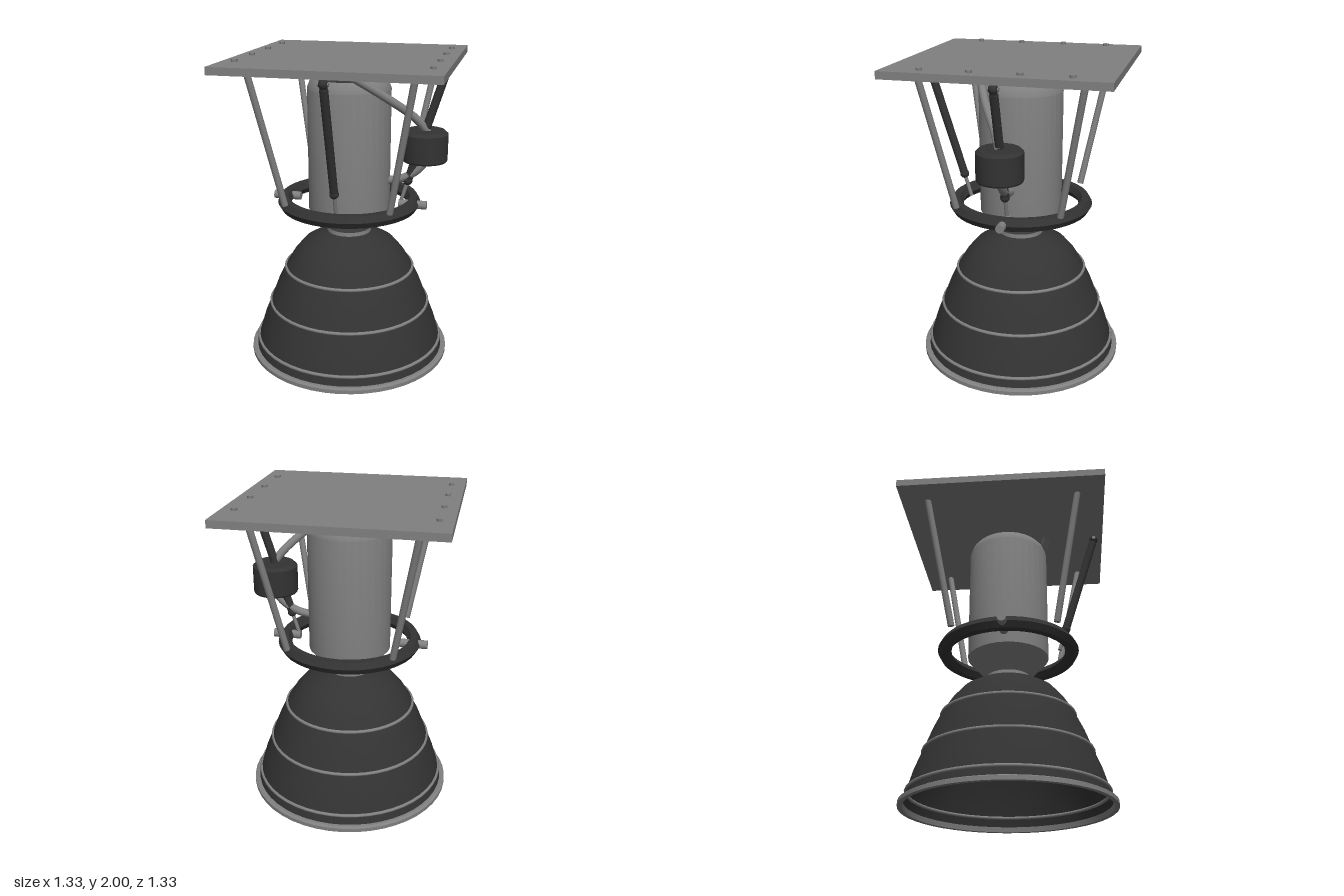
import * as THREE from 'three';
import { toCreasedNormals } from 'three/addons/utils/BufferGeometryUtils.js';

export function createModel() {
  const root = new THREE.Group();
  root.name = 'rocketEngine';

  const grey = new THREE.MeshStandardMaterial({ color: 0x808080 });
  grey.name = 'grey metal';
  const dark = new THREE.MeshStandardMaterial({ color: 0x333333 });
  dark.name = 'dark metal';
  const darkShell = new THREE.MeshStandardMaterial({ color: 0x333333, side: THREE.DoubleSide });
  darkShell.name = 'dark nozzle shell';

  const V = (x, y, z) => new THREE.Vector3(x, y, z);
  const add = (name, geometry, material, parent = root) => {
    const mesh = new THREE.Mesh(geometry, material);
    mesh.name = name;
    parent.add(mesh);
    return mesh;
  };
  const lathe = (points, segments, crease = 0.4) => toCreasedNormals(
    new THREE.LatheGeometry(points.map(([r, y]) => new THREE.Vector2(r, y)), segments), crease);
  // Cylinder between two points
  const rod = (name, a, b, radius, material, parent = root, sides = 12) => {
    const mesh = add(name, new THREE.CylinderGeometry(radius, radius, a.distanceTo(b), sides), material, parent);
    mesh.position.copy(a).lerp(b, 0.5);
    mesh.quaternion.setFromUnitVectors(V(0, 1, 0), b.clone().sub(a).normalize());
    return mesh;
  };

  // Mounting plate with two rows of hex bolts
  add('mountingPlate', new THREE.BoxGeometry(1.328, 0.046, 1.328), grey).position.y = 1.962;
  for (const x of [-0.58, 0.58]) {
    for (const z of [-0.435, -0.145, 0.145, 0.435]) {
      add('plateBolt', new THREE.CylinderGeometry(0.019, 0.019, 0.03, 6), grey).position.set(x, 1.985, z);
    }
  }

  // Combustion chamber, tapering to the throat, with a dark dome cap
  add('combustionChamber', lathe([
    [0.145, 0.835], [0.142, 0.865], [0.265, 1.0], [0.265, 1.785], [0.25, 1.825], [0.228, 1.85],
  ], 32), grey);
  add('domeCap', lathe([[0.228, 1.85], [0.15, 1.905], [0, 1.905]], 32), dark);

  // Bell nozzle, open at the bottom
  add('nozzleBell', lathe([
    [0.64, 0.01], [0.622, 0.08], [0.58, 0.22], [0.53, 0.345], [0.48, 0.475], [0.425, 0.59],
    [0.37, 0.68], [0.302, 0.76], [0.22, 0.808], [0.145, 0.84],
  ], 48, 0.6), darkShell);

  // Stiffening bands and exit rim
  for (const [r, y] of [[0.424, 0.59], [0.53, 0.343], [0.62, 0.092]]) {
    const band = add('nozzleBand', new THREE.TorusGeometry(r, 0.011, 8, 48), grey);
    band.rotation.x = Math.PI / 2;
    band.position.y = y;
  }
  add('exitRim', lathe([
    [0.638, 0], [0.667, 0], [0.667, 0.025], [0.65, 0.033], [0.632, 0.033], [0.638, 0],
  ], 48), grey);

  // Six-sided gimbal ring with pivot pins
  const ring = add('gimbalRing', toCreasedNormals(new THREE.TorusGeometry(0.42, 0.045, 6, 40), 0.5), dark);
  ring.rotation.x = Math.PI / 2;
  ring.position.y = 1.047;
  for (const s of [-1, 1]) {
    rod('gimbalPin', V(s * 0.33, 1.047, 0), V(s * 0.51, 1.047, 0), 0.028, grey);
  }

  // Four corner struts
  for (const sx of [-1, 1]) {
    for (const sz of [-1, 1]) {
      rod('cornerStrut', V(sx * 0.49, 1.945, sz * 0.49), V(sx * 0.332, 1.09, sz * 0.332), 0.021, grey);
    }
  }

  // Two actuators, one at the front and one on the left
  for (const [dx, dz, name] of [[0, 1, 'frontActuator'], [1, 0, 'leftActuator']]) {
    const group = new THREE.Group();
    group.name = name;
    root.add(group);
    const at = (r, y) => V(dx * r, y, dz * r);
    const top = at(0.602, 1.905);
    const foot = at(0.385, 1.205);
    rod('actuatorNeck', top, at(0.587, 1.855), 0.022, dark, group);
    rod('actuatorBody', at(0.592, 1.873), foot, 0.026, dark, group);
    rod('actuatorPiston', foot, at(0.34, 1.055), 0.012, grey, group);
    for (const p of [top, foot]) {
      add('actuatorJoint', new THREE.SphereGeometry(0.03, 12, 8), dark, group).position.copy(p);
    }
    rod('actuatorPin', at(0.602, 1.905).add(V(-dz * 0.032, 0, -dx * 0.032)),
      at(0.602, 1.905).add(V(dz * 0.032, 0, dx * 0.032)), 0.012, grey, group);
  }

  // Turbopump and its feed pipes
  add('turbopump', lathe([
    [0, 1.345], [0.138, 1.345], [0.143, 1.355], [0.143, 1.52], [0.122, 1.54], [0, 1.54],
  ], 24), dark).position.x = 0.488;
  const pipe = (name, points) => add(name,
    new THREE.TubeGeometry(new THREE.CatmullRomCurve3(points), 20, 0.026, 10, false), grey);
  pipe('upperFeedPipe', [V(0, 1.94, 0.275), V(0.27, 1.755, 0.15), V(0.43, 1.62, 0.045), V(0.5, 1.53, 0)]);
  pipe('lowerFeedPipe', [V(0.51, 1.36, 0), V(0.44, 1.275, 0), V(0.35, 1.22, 0), V(0.24, 1.195, 0)]);

  return root;
}
